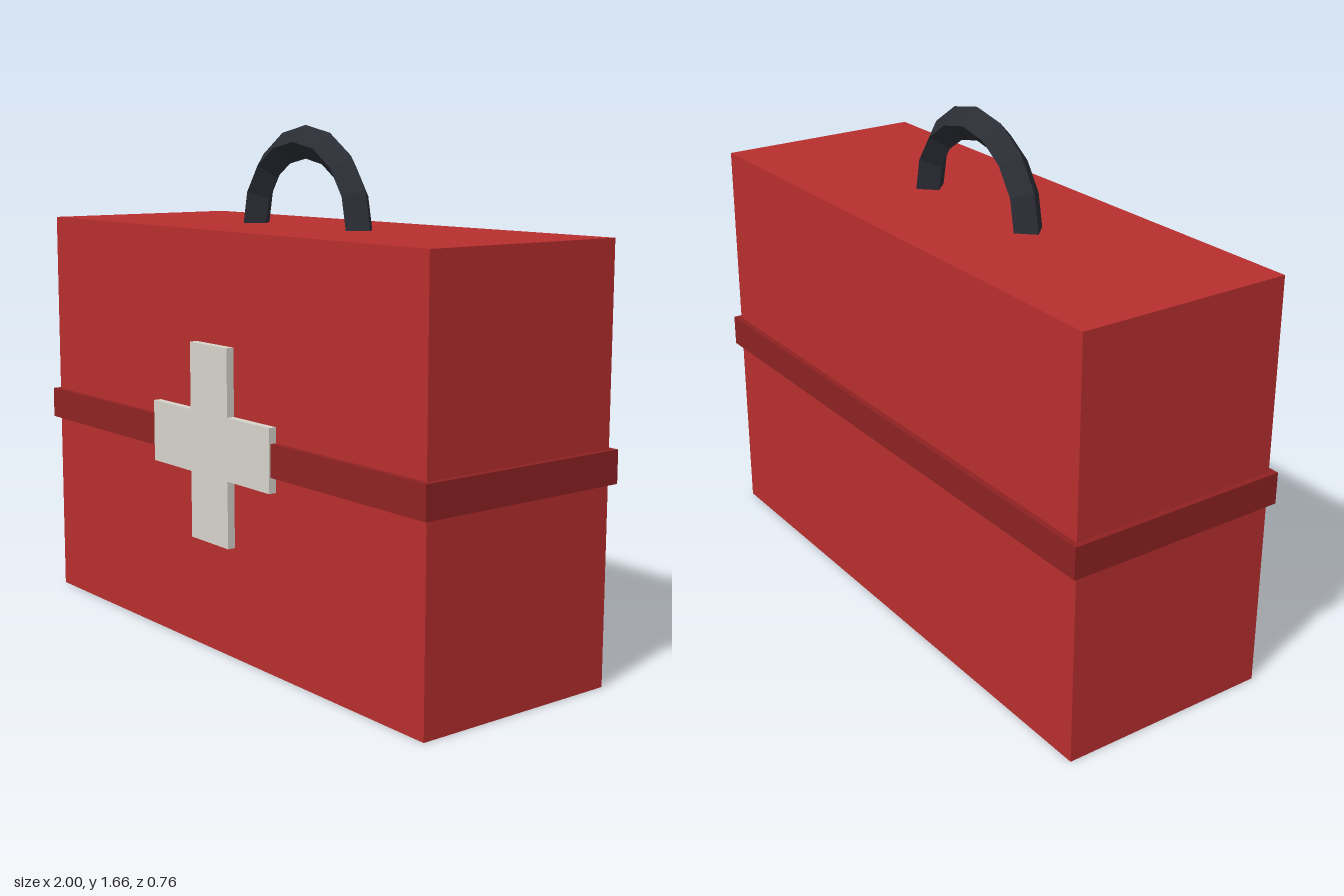
import * as THREE from 'three';

const mat = (name, color) => {
  const m = new THREE.MeshStandardMaterial({ color });
  m.name = name;
  return m;
};

export function createModel() {
  const red = mat('case red', 0xb82e2e);
  const darkRed = mat('band dark red', 0x8f2222);
  const white = mat('cross off-white', 0xd8d4cc);
  const black = mat('handle black', 0x2b2d35);
  black.flatShading = true;

  const model = new THREE.Group();
  model.name = 'medicalCase';
  const add = (name, geometry, material, x, y, z) => {
    const mesh = new THREE.Mesh(geometry, material);
    mesh.name = name;
    mesh.position.set(x, y, z);
    model.add(mesh);
  };

  // Case body and the raised band around its middle
  add('caseBody', new THREE.BoxGeometry(1.963, 1.34, 0.714), red, 0, 0.67, -0.003);
  add('band', new THREE.BoxGeometry(2, 0.103, 0.753), darkRed, 0, 0.673, -0.003);

  // Plus-shaped plate on the front
  const a = 0.1, b = 0.315;
  const outline = [
    [a, b], [-a, b], [-a, a], [-b, a], [-b, -a], [-a, -a],
    [-a, -b], [a, -b], [a, -a], [b, -a], [b, a], [a, a],
  ].map(([x, y]) => new THREE.Vector2(x, y));
  const cross = new THREE.ExtrudeGeometry(new THREE.Shape(outline), { depth: 0.04, bevelEnabled: false });
  add('frontCross', cross, white, 0, 0.673, 0.34);

  // Half-ring handle with a diamond section
  add('handle', new THREE.TorusGeometry(0.267, 0.053, 4, 8, Math.PI), black, 0, 1.34, -0.003);

  return model;
}
